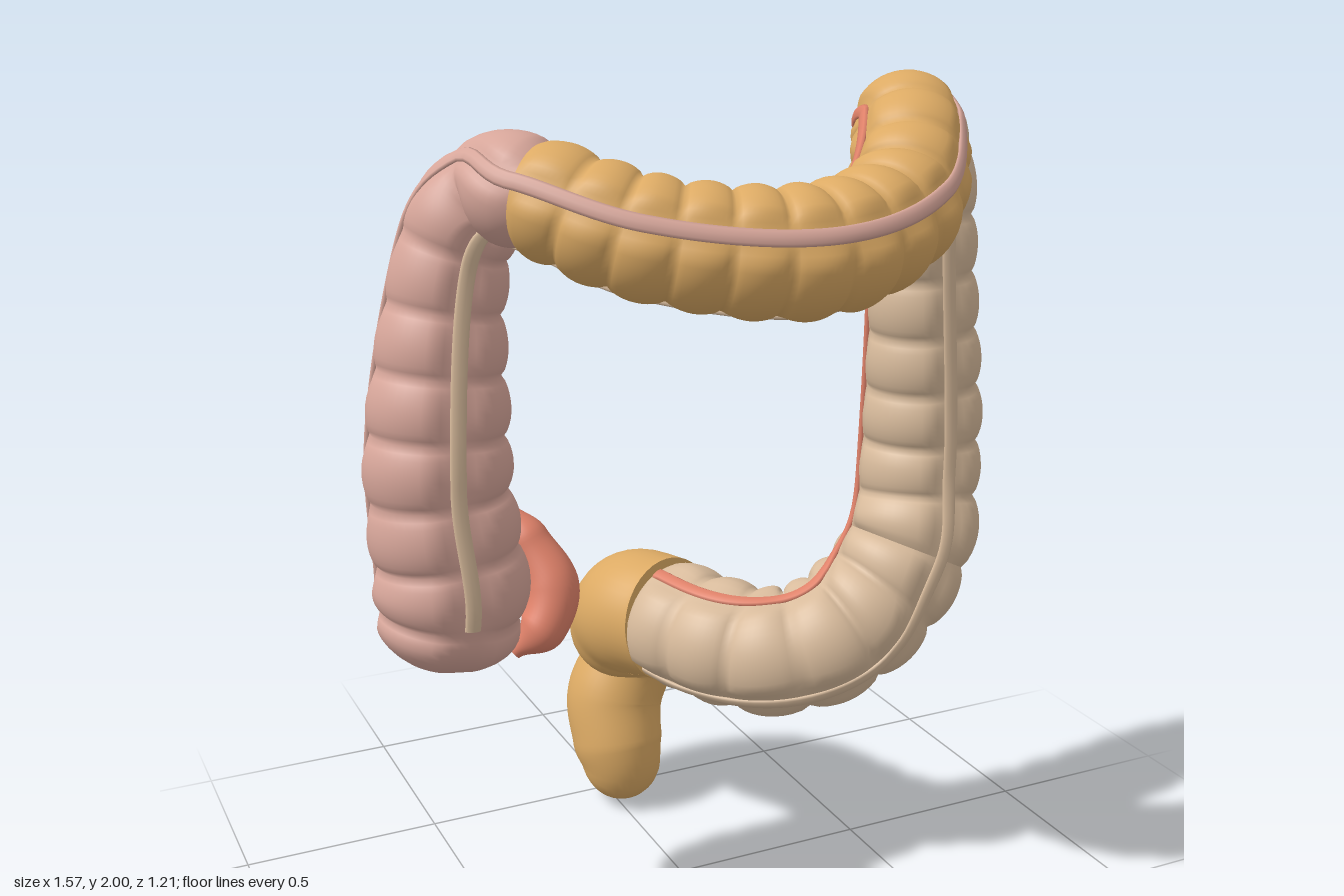
import * as THREE from 'three';

const material = (name, color) => Object.assign(new THREE.MeshStandardMaterial({ color }), { name });

// Directions in which the first muscle band faces along the colon
const front = new THREE.Vector3(0, 0, 1), down = new THREE.Vector3(0, -1, 0);
const slant = new THREE.Vector3(0, -0.7, 0.7);
const low = new THREE.Vector3(-0.3, -0.5, 0.65), inward = new THREE.Vector3(-0.65, -0.72, 0.2);

// Centre line of the colon: x, y, z, radius, band direction
const colon = [
  [-0.625, 0.735, 0.07, 0.15, front],
  [-0.60, 0.92, 0.08, 0.174, front],
  [-0.615, 1.20, 0.07, 0.163, front],
  [-0.55, 1.68, 0.06, 0.125, front],
  [-0.49, 1.80, 0.10, 0.108, slant],
  [-0.425, 1.795, 0.21, 0.122, down],
  [-0.24, 1.72, 0.37, 0.13, down],
  [0.08, 1.685, 0.465, 0.14, down],
  [0.33, 1.74, 0.38, 0.135, down],
  [0.465, 1.86, 0.21, 0.13, down],
  [0.51, 1.88, 0.11, 0.122, slant],
  [0.595, 1.81, 0.05, 0.12, front],
  [0.61, 1.60, 0.045, 0.132, front],
  [0.635, 1.05, 0.035, 0.155, front],
  [0.59, 0.83, 0.07, 0.165, front],
  [0.45, 0.67, 0.08, 0.165, low],
  [0.28, 0.595, 0.05, 0.16, low],
  [0.135, 0.595, -0.10, 0.16, inward],
  [0.075, 0.605, -0.255, 0.16, inward],
];

// A smooth path that also interpolates radius and the three band directions
function makePath(rows) {
  const curve = new THREE.CatmullRomCurve3(rows.map(([x, y, z]) => new THREE.Vector3(x, y, z)));
  const n = rows.length - 1;
  curve.arcLengthDivisions = n * 20;
  const lengths = curve.getLengths(), total = lengths[n * 20];
  const at = (u) => {
    const k = curve.getUtoTmapping(u) * n, i = Math.min(n - 1, Math.floor(k));
    const f = THREE.MathUtils.smoothstep(k - i, 0, 1);
    const T = curve.getTangentAt(u);
    const first = rows[i][4].clone().lerp(rows[i + 1][4], f).projectOnPlane(T).normalize();
    const dirs = [0, -114, 118].map((deg) => first.clone().applyAxisAngle(T, THREE.MathUtils.degToRad(deg)));
    return { p: curve.getPointAt(u), T, dirs, r: THREE.MathUtils.lerp(rows[i][3], rows[i + 1][3], f) };
  };
  return { at, total, uOf: (i) => lengths[i * 20] / total };
}

// Skin a list of closed rings and close both ends flat
function loft(rings) {
  const m = rings[0].length, pos = [], idx = [];
  const push = (ring) => ring.forEach((p) => pos.push(p.x, p.y, p.z));
  rings.forEach(push);
  for (let i = 0; i < rings.length - 1; i++) {
    for (let j = 0; j < m; j++) {
      const a = i * m + j, b = i * m + (j + 1) % m;
      idx.push(a, b, a + m, b, b + m, a + m);
    }
  }
  const cap = (ring, flip) => {
    const base = pos.length / 3;
    push(ring);
    for (let j = 1; j < m - 1; j++) idx.push(base, base + j + (flip ? 1 : 0), base + j + (flip ? 0 : 1));
  };
  cap(rings[0], true);
  cap(rings[rings.length - 1], false);
  const g = new THREE.BufferGeometry();
  g.setAttribute('position', new THREE.Float32BufferAttribute(pos, 3));
  g.setIndex(idx);
  g.computeVertexNormals();
  return g;
}

// Ring around a path sample; radius(direction) gives the distance from the centre
function ringAt(s, sides, radius) {
  return Array.from({ length: sides }, (_, j) => {
    const d = s.dirs[0].clone().applyAxisAngle(s.T, (j / sides) * Math.PI * 2);
    return s.p.clone().addScaledVector(d, radius(d));
  });
}

// Pouched stretch of colon between two control points, pinched between pouches and under the bands
function pouches(path, from, to, count, roundStart) {
  const u0 = path.uOf(from), u1 = path.uOf(to), steps = count * 10, rings = [];
  for (let i = 0; i <= steps; i++) {
    const k = i / steps, s = path.at(u0 + (u1 - u0) * k);
    const bump = Math.pow(Math.abs(Math.sin(k * count * Math.PI)), 0.65);
    const along = ((u1 - u0) * k * path.total) / 0.11;
    const round = roundStart && along < 1 ? Math.sqrt(Math.max(0.001, 1 - (1 - along) ** 2)) : 1;
    rings.push(ringAt(s, 48, (d) => {
      const near = THREE.MathUtils.smoothstep(Math.max(...s.dirs.map((b) => b.dot(d))), 0.92, 1);
      return s.r * round * (0.89 + 0.13 * bump * (1 - 0.75 * near));
    }));
  }
  return loft(rings);
}

// Flat muscle band lying on the colon
function band(path, which) {
  const rings = [], steps = 260, start = 0.035, end = 0.998;
  for (let i = 0; i <= steps; i++) {
    const s = path.at(start + ((end - start) * i) / steps);
    const d = s.dirs[which], side = s.T.clone().cross(d);
    const c = s.p.clone().addScaledVector(d, s.r * 0.925);
    rings.push(Array.from({ length: 8 }, (_, j) => {
      const a = (j / 8) * Math.PI * 2;
      return c.clone().addScaledVector(d, Math.cos(a) * 0.007).addScaledVector(side, Math.sin(a) * 0.018);
    }));
  }
  return loft(rings);
}

// Plain smooth tube of varying radius
function smoothTube(points, reference, steps) {
  const path = makePath(points.map((p) => [...p, reference])), rings = [];
  for (let i = 0; i <= steps; i++) {
    const s = path.at(i / steps);
    rings.push(ringAt(s, 40, () => s.r));
  }
  return loft(rings);
}

export function createModel() {
  const gold = material('gold', 0xdcaa64), cream = material('cream', 0xd8bb9c);
  const pink = material('pink', 0xd7a69a), coral = material('coral', 0xe0826a);
  const group = new THREE.Group();
  group.name = 'largeIntestine';
  const add = (name, geometry, mat) => {
    const mesh = new THREE.Mesh(geometry, mat);
    mesh.name = name;
    group.add(mesh);
  };
  const path = makePath(colon);

  // Colon stretches
  add('ascendingColon', pouches(path, 0, 5, 9, true), pink);
  add('transverseColon', pouches(path, 5, 10, 12, false), gold);
  add('descendingColon', pouches(path, 10, 14, 8, false), cream);
  add('sigmoidColon', pouches(path, 14, 18, 6, false), cream);

  // Muscle bands
  add('frontBand', band(path, 0), cream);
  add('outerBand', band(path, 1), pink);
  add('innerBand', band(path, 2), coral);

  // Rectum with a flat cut end
  add('rectum', smoothTube([
    [0.08, 0.605, -0.24, 0.16], [0.038, 0.59, -0.35, 0.166], [0.04, 0.53, -0.425, 0.155],
    [0.07, 0.42, -0.475, 0.124], [0.02, 0.30, -0.475, 0.13], [0.01, 0.19, -0.435, 0.122],
    [0.015, 0.125, -0.425, 0.108], [0.02, 0.06, -0.485, 0.074],
  ], new THREE.Vector3(1, 0, 0), 70), gold);

  // Appendix
  add('appendix', smoothTube([
    [-0.45, 1.08, 0.02, 0.015], [-0.41, 1.0, 0.06, 0.05], [-0.375, 0.9, 0.115, 0.063],
    [-0.41, 0.82, 0.145, 0.055], [-0.475, 0.765, 0.13, 0.018],
  ], front, 40), coral);

  return group;
}
